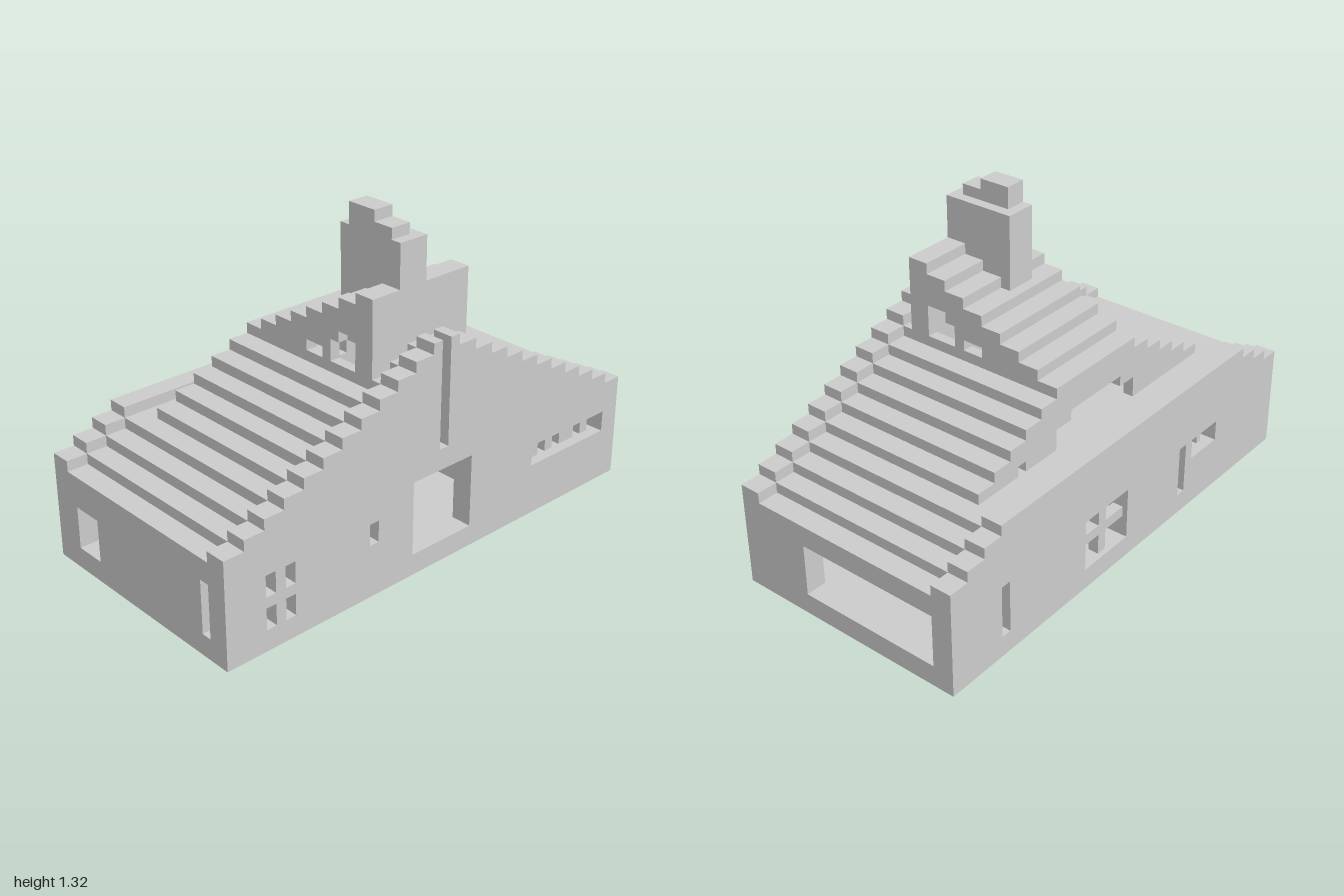
import * as THREE from 'three';

// Everything is laid out on a 47 x 31 x 23 block grid, then scaled to size.
const U = 2 / 47, W = 47, D = 23;
const material = new THREE.MeshStandardMaterial({ color: 0xcccccc });
const rect = (a0, a1, y0, y1) => [[a0, y0], [a1, y0], [a1, y1], [a0, y1]];
const toVec = (pts) => pts.map(([a, b]) => new THREE.Vector2(a, b));

export function createModel() {
  const house = new THREE.Group();
  house.name = 'house';

  const add = (name, geometry) => {
    const mesh = new THREE.Mesh(geometry, material);
    mesh.name = name;
    house.add(mesh);
  };
  const box = (name, x0, x1, y0, y1, z0, z1) => {
    const g = new THREE.BoxGeometry(x1 - x0, y1 - y0, z1 - z0);
    add(name, g.translate((x0 + x1) / 2, (y0 + y1) / 2, (z0 + z1) / 2));
  };
  const mirrored = (name, x0, x1, ...rest) => {
    box(name, x0, x1, ...rest);
    box(name, W - x1, W - x0, ...rest);
  };
  // Upright wall with openings; axis is the direction of its thickness
  const wall = (name, outline, holes, from, to, axis = 'z') => {
    const shape = new THREE.Shape(toVec(outline));
    holes.forEach((h) => shape.holes.push(new THREE.Path(toVec(h))));
    const g = new THREE.ExtrudeGeometry(shape, { depth: to - from, bevelEnabled: false });
    if (axis === 'x') g.rotateY(-Math.PI / 2).translate(to, 0, 0);
    else g.translate(0, 0, from);
    add(name, g);
  };
  // Stepped gable, two blocks per step, with an optional centre slot
  const gable = (k0, k1, bottom, base, slot) => {
    const left = [[2 * k0, bottom]];
    for (let k = k0; k <= k1; k++) left.push([2 * k, base + k], [2 * k + 2, base + k]);
    if (slot) {
      left.pop();
      left.push([23, base + k1], [23, slot]);
    } else left.pop();
    return [...left, ...left.map(([x, y]) => [W - x, y]).reverse()];
  };

  // Floor and ceiling
  box('floor', 2, 45, 0, 2, 2, 21);
  box('ceiling', 4, 43, 9, 10, 2, 21);

  // Front wall in two layers: slot, door, small windows, window band
  const frontHoles = [rect(20, 27, 2, 9), rect(15, 16, 5, 7), rect(35, 45, 5, 7)];
  for (const x of [4, 6]) frontHoles.push(rect(x, x + 1, 2, 4), rect(x, x + 1, 5, 7));
  wall('frontWall', gable(0, 11, 0, 10, 11), frontHoles, 22, 23);
  wall('frontWallLining', gable(0, 11, 0, 10, 20), frontHoles, 21, 22);
  for (const [a, b] of [[36, 37], [38, 39], [40, 42], [43, 44]])
    box('windowPost', a, b, 5, 7, 21, 22);

  // Back wall with its windows
  wall('backWall', gable(0, 3, 0, 10), [
    rect(40, 41, 2, 7), rect(24, 30, 2, 7), rect(15, 16, 2, 7), rect(10, 14, 5, 7),
  ], 0, 2);
  box('windowMullion', 26.5, 27.5, 2, 7, 0.5, 1.5);
  box('windowTransom', 24, 30, 4, 5, 0.5, 1.5);
  for (const x of [11, 13]) box('windowPost', x, x + 0.6, 5, 7, 1, 2);

  // Side walls
  wall('leftWall', rect(2, 21, 0, 9), [rect(2.01, 16, 2, 7)], 45, 47, 'x');
  wall('rightWall', rect(2, 21, 0, 9), [rect(3, 6, 2, 6), rect(20, 20.98, 2, 7)], 0, 2, 'x');

  // Inner partitions
  wall('hallPartition', rect(2, 33, 2, 9), [rect(25, 29, 2.01, 7)], 11, 12);
  box('roomPartition', 32, 33, 2, 9, 12, 21);
  wall('backPartition', rect(2, 11, 2, 9), [rect(3, 6, 2.01, 6), rect(7, 10.9, 2.01, 6)], 19, 20, 'x');

  // Stepped main roof, with a short strip in front of the dormer
  for (let k = 1; k <= 10; k++) {
    const zBack = k <= 3 ? 2 : k <= 8 ? 4 : 20;
    mirrored('roofStep', 2 * k, 2 * k + 2, 7 + k, 9 + k, zBack, 21);
  }
  box('roofRidge', 22, 25, 18, 20, 20, 21);
  box('backLedge', 8, 39, 10, 12, 2, 4);

  // Recessed back gable above the ledge
  wall('backGable', gable(5, 9, 10, 7).map(([x, y]) => [x, Math.min(y, 16)]), [
    [[18, 12.01], [29, 12.01], [29, 14], [27, 14], [27, 15], [20, 15], [20, 14], [18, 14]],
    rect(33, 34, 12.01, 13),
  ], 4, 5);

  // Dormer: roof steps climb to the front
  const side = [[4, 14]];
  for (let j = 0; j < 8; j++) {
    const z = 4 + 2 * j;
    box('dormerStep', 18, 29, 16 + j, 18 + j, z, z + 2);
    side.push([z, 16 + j], [z + 2, 16 + j]);
  }
  side.push([20, 14]);
  const sideHoles = [
    [[15, 18], [18, 18], [18, 21], [16, 21], [16, 20], [15, 20]],
    rect(12, 14, 18, 19),
  ];
  wall('dormerSide', side, sideHoles, 18, 19, 'x');
  wall('dormerSide', side, sideHoles, 28, 29, 'x');
  box('dormerFront', 19, 28, 14, 23, 19, 20);

  // Chimney and its stepped cap
  box('chimney', 21, 24, 20, 29, 13, 20);
  box('chimneyCap', 21, 23, 29, 30, 14, 19);
  box('chimneyCap', 21, 23, 30, 31, 14, 17);

  house.scale.setScalar(U);
  house.position.set(-1, 0, -D * U / 2);
  const model = new THREE.Group();
  model.name = 'steppedHouse';
  model.add(house);
  return model;
}
